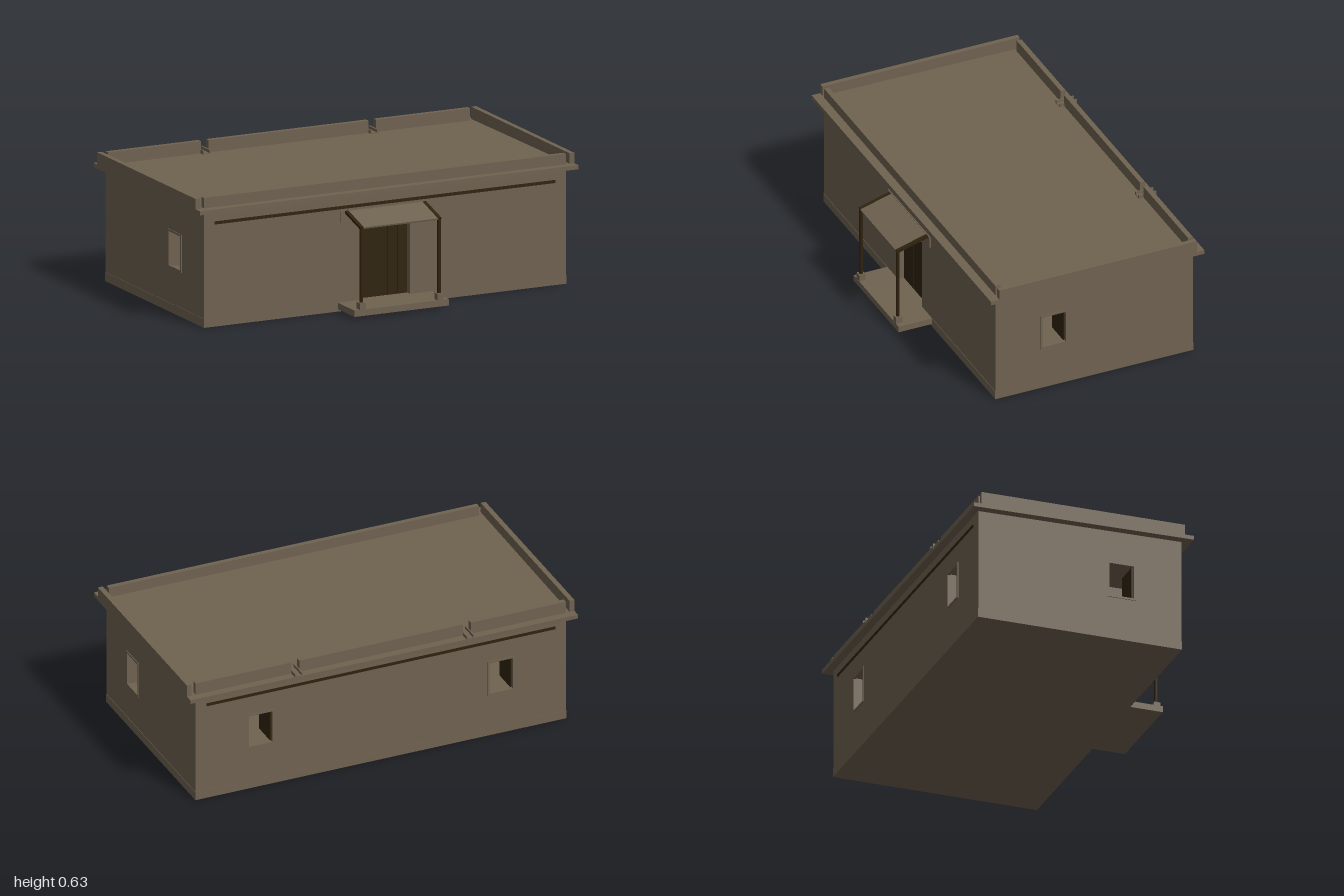
import * as THREE from 'three';

export function createModel() {
  const house = new THREE.Group();
  house.name = 'house';
  const clay = new THREE.MeshStandardMaterial({ color: 0x6f6250 });
  clay.name = 'clay';
  const timber = new THREE.MeshStandardMaterial({ color: 0x30230f });
  timber.name = 'dark timber';

  const add = (name, geo, mat, parent = house) => {
    const m = new THREE.Mesh(geo, mat);
    m.name = name;
    parent.add(m);
    return m;
  };
  // box given by its minimum and maximum on each axis
  const box = (name, x0, x1, y0, y1, z0, z1, mat = clay, parent = house) => {
    const m = add(name, new THREE.BoxGeometry(x1 - x0, y1 - y0, z1 - z0), mat, parent);
    m.position.set((x0 + x1) / 2, (y0 + y1) / 2, (z0 + z1) / 2);
    return m;
  };
  const rect = (T, x0, x1, y0, y1) => {
    const s = new T();
    s.moveTo(x0, y0); s.lineTo(x1, y0); s.lineTo(x1, y1); s.lineTo(x0, y1);
    s.closePath();
    return s;
  };

  const W = 0.955, F = 0.445, B = -0.58, T = 0.045, EAVE = 0.56;

  // wall whose outer face looks along local +z, with rectangular openings
  const wall = (name, half, holes) => {
    const g = new THREE.Group();
    g.name = name;
    const s = rect(THREE.Shape, -half, half, 0, EAVE);
    holes.forEach(h => s.holes.push(rect(THREE.Path, ...h)));
    const geo = new THREE.ExtrudeGeometry(s, { depth: T, bevelEnabled: false });
    geo.translate(0, 0, -T);
    add('wallPanel', geo, clay, g);
    house.add(g);
    return g;
  };

  // window frame with a shutter folded back into the room
  const windowAt = (parent, c) => {
    const w = 0.071, y0 = 0.215, y1 = 0.4, t = 0.01;
    const s = rect(THREE.Shape, c - w, c + w, y0, y1);
    s.holes.push(rect(THREE.Path, c - w + t, c + w - t, y0 + t, y1 - t));
    const geo = new THREE.ExtrudeGeometry(s, { depth: 0.012, bevelEnabled: false });
    geo.translate(0, 0, -0.008);
    add('windowFrame', geo, clay, parent);
    box('shutter', c + w - t - 0.006, c + w - t, y0 + t, y1 - t, -0.14, -0.012, timber, parent);
  };
  const opening = c => [c - 0.07, c + 0.07, 0.216, 0.399];

  // four walls
  const front = wall('frontWall', W, [[-0.133, 0.133, 0.04, 0.405]]);
  front.position.z = F;
  const back = wall('backWall', W, [opening(-0.62), opening(0.62)]);
  back.position.z = B;
  back.rotation.y = Math.PI;
  [-0.62, 0.62].forEach(c => windowAt(back, c));
  const mid = (F + B) / 2, depth = (F - B) / 2;
  for (const s of [1, -1]) {
    const c = -s * (0.142 - mid);
    const side = wall(s > 0 ? 'leftWall' : 'rightWall', depth, [opening(c)]);
    side.position.set(s * W, 0, mid);
    side.rotation.y = s * Math.PI / 2;
    windowAt(side, c);
    // inner partition
    box('partition', s * 0.35 - 0.02, s * 0.35 + 0.02, 0.03, EAVE, B + T, F - T);
  }

  // floor and plinth
  box('plinth', -W - 0.002, W + 0.002, 0, 0.043, B - 0.002, F + 0.002);

  // roof slab, slightly lower at the back for drainage
  const slab = box('roofSlab', -1, 1, 0.555, 0.575, -0.62, 0.49);
  slab.rotation.x = -0.009;

  // parapets, the back one broken by two drains
  const top = 0.63;
  box('frontParapet', -W, W, 0.565, top, F - 0.025, F);
  for (const s of [1, -1]) {
    const x = s * 0.9875;
    box('sideParapet', x - 0.0125, x + 0.0125, 0.56, top, B, F);
  }
  const drains = [-0.445, 0.44], g = 0.02;
  const edges = [-W, drains[0] - g, drains[0] + g, drains[1] - g, drains[1] + g, W];
  for (let i = 0; i < 6; i += 2) {
    box('backParapet', edges[i], edges[i + 1], 0.555, top, B, B + 0.025);
  }
  for (const x of drains) {
    box('drainBed', x - g, x + g, 0.56, 0.574, -0.622, -0.53);
    for (const s of [1, -1]) {
      const e = x + s * 0.017;
      box('drainCheek', e - 0.004, e + 0.004, 0.56, 0.588, -0.622, -0.53);
    }
  }

  // timber bands under the eaves
  box('frontBand', -0.9, 0.9, 0.495, 0.51, F - 0.005, F + 0.002, timber);
  box('backBand', -0.9, 0.9, 0.495, 0.51, B - 0.002, B + 0.005, timber);

  // plank door with a clay lintel
  const planks = 5, pw = 0.266 / planks;
  for (let i = 0; i < planks; i++) {
    const x = -0.133 + i * pw;
    box('doorPlank', x + 0.001, x + pw - 0.001, 0.043, 0.402, F - 0.045, F - 0.03, timber);
  }
  box('doorBacking', -0.133, 0.133, 0.043, 0.405, F - 0.05, F - 0.04, timber);
  box('doorHead', -0.133, 0.133, 0.403, 0.43, F - 0.02, F + 0.003);
  box('lintel', -0.235, 0.235, 0.43, 0.485, F - 0.01, F + 0.006);

  // porch step, posts, rafters and canopy
  box('porchStep', -0.25, 0.25, 0.012, 0.043, F - 0.01, 0.62);
  const slope = Math.atan2(0.045, 0.16), len = Math.hypot(0.045, 0.16);
  for (const s of [1, -1]) {
    const x = s * 0.205;
    box('postBase', x - 0.016, x + 0.016, 0.043, 0.075, 0.587, 0.619);
    const post = add('porchPost', new THREE.CylinderGeometry(0.009, 0.009, 0.36, 10), timber);
    post.position.set(x, 0.253, 0.603);
    const rafter = add('rafter', new THREE.BoxGeometry(0.017, 0.013, len), timber);
    rafter.position.set(x, 0.457, 0.53);
    rafter.rotation.x = slope;
  }
  const canopy = add('canopy', new THREE.BoxGeometry(0.4, 0.008, len), clay);
  canopy.position.set(0, 0.457, 0.53);
  canopy.rotation.x = slope;

  return house;
}
